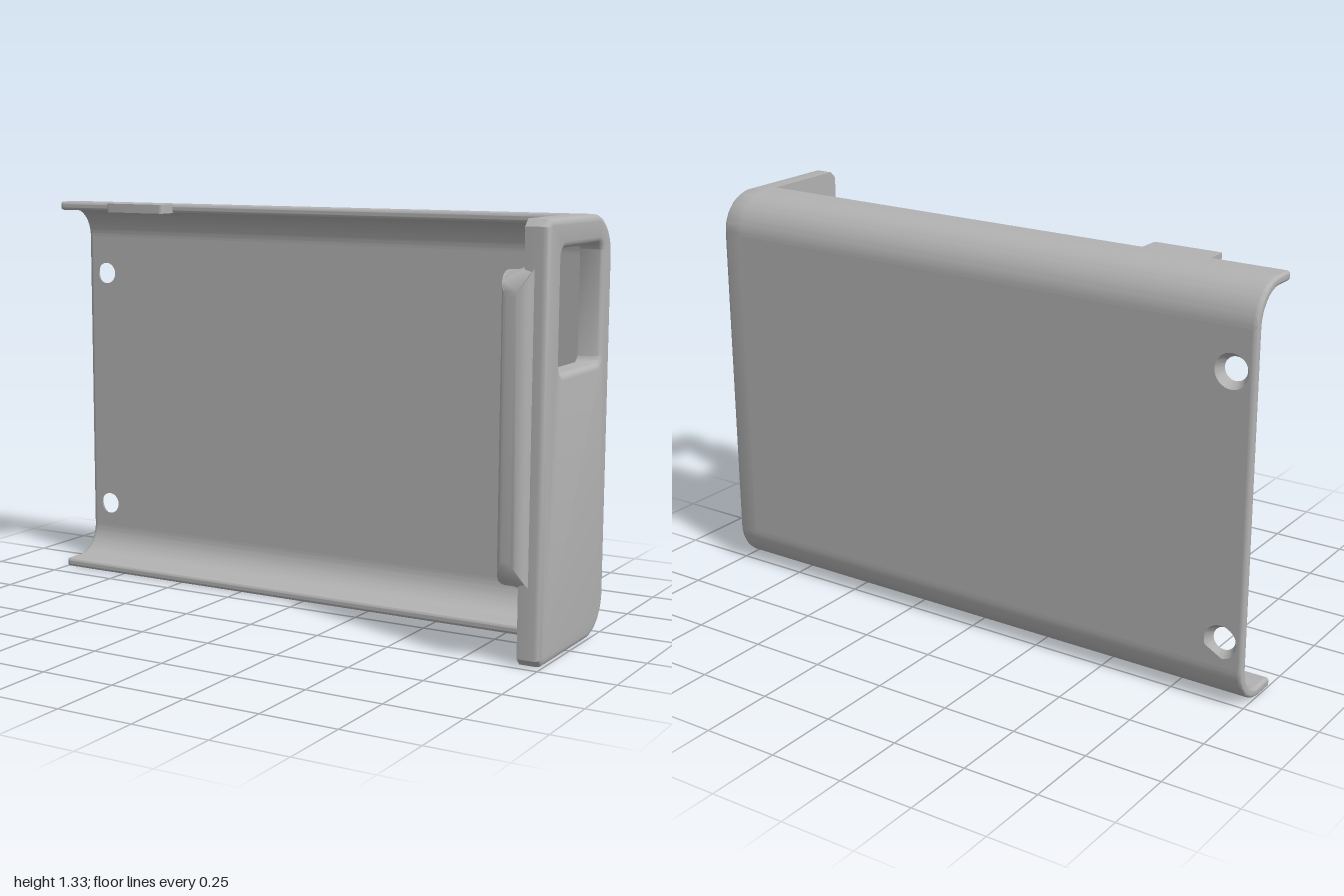
import * as THREE from 'three';
import { toCreasedNormals } from 'three/addons/utils/BufferGeometryUtils.js';

const H = 1.33, BACK = -0.275, R = 0.13, T = 0.03;   // height, rear plane, corner radius, sheet thickness
const WALL_X = 0.925, RIM_X = -0.985;

// Move every vertex of a geometry by a rule
function warp(geo, rule) {
  const p = geo.attributes.position, v = new THREE.Vector3();
  for (let i = 0; i < p.count; i++) {
    rule(v.fromBufferAttribute(p, i));
    p.setXYZ(i, v.x, v.y, v.z);
  }
  return geo;
}

// Extrude a (-z, y) shape from x0 to x1, rounding its edges by b at one end only
function alongX(shape, x0, x1, b = 0, roundLow = false) {
  const geo = new THREE.ExtrudeGeometry(shape, {
    depth: x1 - x0 - b, curveSegments: 12, bevelEnabled: b > 0,
    bevelThickness: b, bevelSize: b, bevelOffset: -b, bevelSegments: 4,
  });
  const d = x1 - x0 - b;
  if (b) warp(geo, (v) => { v.z = roundLow ? Math.min(v.z, d) : Math.max(v.z, 0); });
  return geo.rotateY(Math.PI / 2).translate(roundLow ? x0 + b : x0, 0, 0);
}

// Curled lower edge of the tray, as points in (-z, y)
function curlPoints() {
  const s = new THREE.Shape(), e = 0.012;
  const u = -BACK - R;
  s.moveTo(0.075 + e, 0);
  s.lineTo(u, 0);
  s.absarc(u, R, R, -Math.PI / 2, 0, false);
  s.lineTo(u + R - T, R);
  s.absarc(u, R, R - T, 0, -Math.PI / 2, true);
  s.lineTo(0.075 + e, T);
  s.quadraticCurveTo(0.075, T, 0.075, T - e);
  s.lineTo(0.075, e);
  s.quadraticCurveTo(0.075, 0, 0.075 + e, 0);
  return s.getPoints(12).slice(0, -1);
}

const flip = (pts) => pts.map((p) => new THREE.Vector2(p.x, H - p.y));

// Whole C-shaped section of the tray
function traySection() {
  const pts = curlPoints();
  const inner = pts.findIndex((p) => Math.abs(p.x - (-BACK - T)) < 1e-6 && Math.abs(p.y - R) < 1e-6);
  const outerHalf = pts.slice(0, inner), innerHalf = pts.slice(inner);
  return new THREE.Shape([
    ...outerHalf, ...flip(outerHalf).reverse(), ...flip(innerHalf).reverse(), ...innerHalf,
  ]);
}

function roundedRect(x0, y0, x1, y1, r) {
  const p = new THREE.Path();
  p.absarc(x1 - r, y1 - r, r, 0, Math.PI / 2, false);
  p.absarc(x0 + r, y1 - r, r, Math.PI / 2, Math.PI, false);
  p.absarc(x0 + r, y0 + r, r, Math.PI, Math.PI * 1.5, false);
  p.absarc(x1 - r, y0 + r, r, Math.PI * 1.5, Math.PI * 2, false);
  return p;
}

// Side wall outline with its window
function wallShape() {
  const s = new THREE.Shape(), f = -0.23, c = 0.022, u = -BACK - R;
  s.moveTo(f + c, 0);
  s.lineTo(u, 0);
  s.absarc(u, R, R, -Math.PI / 2, 0, false);
  s.absarc(u, H - R, R, 0, Math.PI / 2, false);
  s.lineTo(f + c, H);
  s.lineTo(f, H - c);
  s.lineTo(f, c);
  s.closePath();
  s.holes.push(roundedRect(-0.128, 0.87, 0.195, 1.24, 0.03));
  return s;
}

// Flat rear panel with two screw holes, countersunk at the rear
function panelGeometry() {
  const s = new THREE.Shape(), x = -0.925, r = 0.037, ys = [0.213, 1.067];
  s.moveTo(RIM_X, R);
  s.lineTo(WALL_X, R);
  s.lineTo(WALL_X, H - R);
  s.lineTo(RIM_X, H - R);
  s.closePath();
  for (const y of ys) s.holes.push(new THREE.Path().absarc(x, y, r, 0, Math.PI * 2, true));
  const geo = new THREE.ExtrudeGeometry(s, { depth: T, bevelEnabled: false, curveSegments: 24 });
  warp(geo, (v) => {
    for (const y of ys) {
      if (v.z < 0.001 && Math.hypot(v.x - x, v.y - y) < r + 0.005) {
        v.x = x + (v.x - x) * 1.48;
        v.y = y + (v.y - y) * 1.48;
        break;
      }
    }
  });
  return geo.translate(0, 0, BACK);
}

// Hooked lip on the front of the wall, its ends rounded off toward the front
function hookGeometry() {
  const s = new THREE.Shape();
  s.moveTo(0.957, 0.215);
  s.lineTo(0.957, 0.235);
  s.quadraticCurveTo(0.952, 0.272, 0.915, 0.275);
  s.lineTo(0.89, 0.275);
  s.quadraticCurveTo(0.87, 0.275, 0.87, 0.255);
  s.quadraticCurveTo(0.87, 0.235, 0.89, 0.235);
  s.lineTo(0.905, 0.235);
  s.quadraticCurveTo(0.925, 0.235, 0.925, 0.215);
  s.closePath();
  const geo = new THREE.ExtrudeGeometry(s, { depth: 1, bevelEnabled: false, curveSegments: 8 });
  geo.rotateX(Math.PI / 2);
  return warp(geo, (v) => {
    const rise = Math.sqrt(Math.max(0, 0.01 - (v.z - 0.175) ** 2));
    v.y = v.y > -0.5 ? 1.105 + rise : 0.325 - rise;
  });
}

// Small catch on the top lip, with softened front corners
function tabGeometry() {
  const s = new THREE.Shape(), x0 = -0.747, x1 = -0.515, z0 = -0.1, z1 = -0.01, r = 0.012;
  s.moveTo(x0, z0);
  s.lineTo(x1, z0);
  s.lineTo(x1, z1 - r);
  s.quadraticCurveTo(x1, z1, x1 - r, z1);
  s.lineTo(x0 + r, z1);
  s.quadraticCurveTo(x0, z1, x0, z1 - r);
  s.closePath();
  const geo = new THREE.ExtrudeGeometry(s, { depth: T, bevelEnabled: false, curveSegments: 6 });
  return geo.rotateX(Math.PI / 2).translate(0, H, 0);
}

export function createModel() {
  const group = new THREE.Group();
  group.name = 'mountingBracket';
  const grey = new THREE.MeshStandardMaterial({ color: 0xb2b2b2 });
  grey.name = 'grey';

  const add = (name, geo) => {
    const mesh = new THREE.Mesh(toCreasedNormals(geo, 0.6), grey);
    mesh.name = name;
    group.add(mesh);
  };

  // Tray
  add('rearPanel', panelGeometry());
  add('bottomCurl', alongX(new THREE.Shape(curlPoints()), RIM_X, WALL_X));
  add('topCurl', alongX(new THREE.Shape(flip(curlPoints())), RIM_X, WALL_X));
  add('endRim', alongX(traySection(), -1, RIM_X, 0.01, true));

  // Side wall and catches
  add('sideWall', alongX(wallShape(), WALL_X, 1, 0.02));
  add('hookLip', hookGeometry());
  add('topTab', tabGeometry());
  return group;
}
